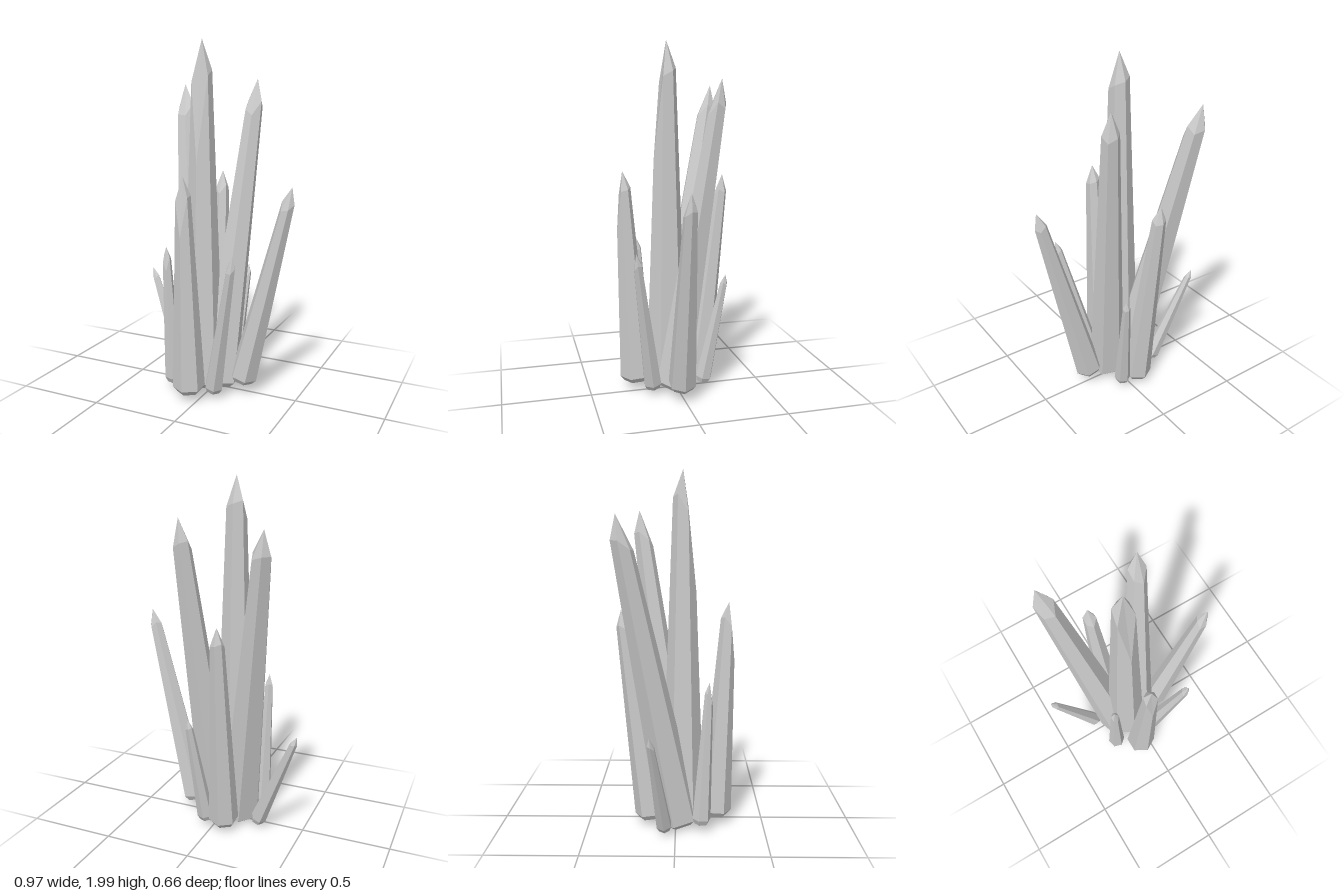
import * as THREE from 'three';

const material = new THREE.MeshStandardMaterial({ color: 0xcccccc, flatShading: true });
const SIDES = 6;

// Six-sided shard: bevelled foot, long taper, uneven shoulder and a point.
// base = centre of the foot, tip = point, radius = width near the foot,
// drop = how far the front corner of the shoulder is cut down (share of length)
function crystal(name, base, tip, radius, drop = 0.05, turn = 0) {
  const foot = new THREE.Vector3(...base);
  const axis = new THREE.Vector3(...tip).sub(foot);
  const length = axis.length();
  const shoulder = 0.925, narrow = 0.45;
  const profile = [
    [0, 0], [radius * 0.74, 0], [radius, 0.03],
    [radius * narrow, length * shoulder], [0, length],
  ].map(([r, y]) => new THREE.Vector2(r, y));
  const geometry = new THREE.LatheGeometry(profile, SIDES);
  geometry.rotateY(turn);

  // Slide the shoulder corners down along the taper, most at the front
  const p = geometry.attributes.position;
  for (let i = 0; i < p.count; i++) {
    if (i % profile.length !== 3) continue;
    const angle = Math.atan2(p.getX(i), p.getZ(i));
    const t = shoulder - drop * Math.max(0, Math.cos(angle)) ** 3 + 0.01 * Math.sin(angle * 2);
    const r = radius * (1 - (1 - narrow) * t / shoulder);
    p.setXYZ(i, Math.sin(angle) * r, t * length, Math.cos(angle) * r);
  }
  geometry.computeVertexNormals();

  const mesh = new THREE.Mesh(geometry, material);
  mesh.name = name;
  mesh.position.copy(foot);
  mesh.quaternion.setFromUnitVectors(new THREE.Vector3(0, 1, 0), axis.normalize());
  return mesh;
}

export function createModel() {
  const group = new THREE.Group();
  group.name = 'crystalCluster';
  group.add(
    // Three tall shards
    crystal('centreCrystal', [-0.06, 0.03, 0.04], [-0.06, 2.0, 0.04], 0.122, 0.26),
    crystal('tallRightCrystal', [-0.1, 0.03, 0.02], [-0.34, 1.76, -0.3], 0.12, 0.05, 0.3),
    crystal('tallLeftCrystal', [0.04, 0.04, 0.025], [0.165, 1.79, -0.21], 0.108, 0.05, 0.2),
    // Medium shards
    crystal('frontCrystal', [-0.055, 0.06, 0.228], [-0.05, 1.29, 0.295], 0.09, 0.19),
    crystal('leaningLeftCrystal', [0.18, 0.08, 0.01], [0.468, 1.23, 0.04], 0.08, 0.05, 0.5),
    crystal('backCrystal', [-0.065, 0.045, -0.145], [-0.09, 1.25, -0.3], 0.085, 0.04),
    // Small shards
    crystal('smallFrontRightCrystal', [-0.195, 0.06, 0.145], [-0.215, 0.87, 0.185], 0.052, 0.1, 0.2),
    crystal('smallFrontLeftCrystal', [0.06, 0.05, 0.15], [0.23, 0.88, 0.275], 0.054, 0.05, 0.4),
    crystal('smallSideCrystal', [-0.24, 0.045, -0.06], [-0.485, 0.64, -0.13], 0.045, 0.05, 0.5),
    crystal('smallBackCrystal', [0.045, 0.05, -0.15], [0.1, 0.7, -0.265], 0.048, 0.05, 0.1),
  );
  return group;
}
